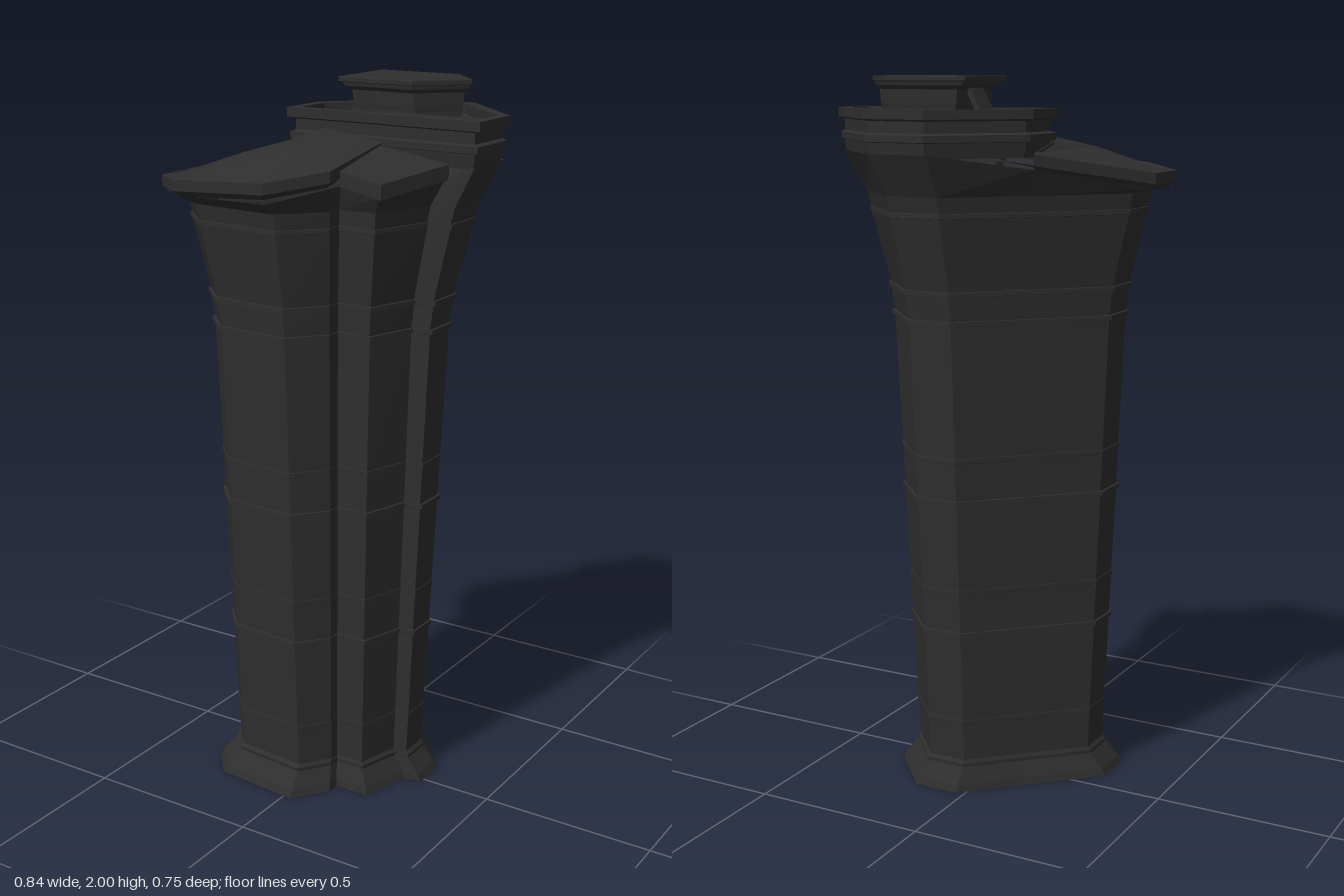
import * as THREE from 'three';

const stone = new THREE.MeshStandardMaterial({ color: 0x2e2e2e, side: THREE.DoubleSide });
stone.name = 'dark stone';

// Flat-faced skin through rings of [x, y, z] points, with an optional cap on top
function loft(name, rings, cap = false) {
  const pos = [];
  const tri = (a, b, c) => {
    const u = new THREE.Vector3(...b).sub(new THREE.Vector3(...a));
    const v = new THREE.Vector3(...c).sub(new THREE.Vector3(...a));
    if (u.cross(v).length() > 1e-7) pos.push(...a, ...b, ...c);
  };
  for (let r = 0; r < rings.length - 1; r++) {
    const lo = rings[r], hi = rings[r + 1], n = lo.length;
    for (let i = 0; i < n; i++) {
      const j = (i + 1) % n;
      tri(lo[i], lo[j], hi[j]);
      tri(lo[i], hi[j], hi[i]);
    }
  }
  if (cap) {
    const top = rings[rings.length - 1], n = top.length;
    const mid = [0, 1, 2].map(k => top.reduce((s, p) => s + p[k], 0) / n);
    top.forEach((p, i) => tri(p, top[(i + 1) % n], mid));
  }
  const g = new THREE.BufferGeometry();
  g.setAttribute('position', new THREE.Float32BufferAttribute(pos, 3));
  g.computeVertexNormals();
  const m = new THREE.Mesh(g, stone);
  m.name = name;
  return m;
}

// Ring helpers: [x, z] outline scaled about a centre at one height
const flat = (pts, y, s = 1, cx = 0, cz = 0) =>
  pts.map(([x, z]) => [cx + (x - cx) * s, y, cz + (z - cz) * s]);
const mix = (a, b, t) => a.map((p, i) => [p[0] + (b[i][0] - p[0]) * t, p[1] + (b[i][1] - p[1]) * t]);
const raise = (pts, dy) => pts.map(([x, y, z]) => [x, y + dy, z]);
const shrink = (pts, s, cx, cz, dy) =>
  pts.map(([x, y, z]) => [cx + (x - cx) * s, y + dy, cz + (z - cz) * s]);

// Tower plan at the foot, at the waist and at the eaves
const LOW = [[-.25, .06], [-.25, .16], [-.19, .23], [.02, .25], [.08, .17], [.08, .14], [.165, .14],
  [.20, .02], [.24, .015], [.24, -.07], [.13, -.195], [.02, -.195], [-.10, -.08]];
const MID = [[-.295, .07], [-.295, .18], [-.21, .265], [.01, .285], [.09, .19], [.09, .15], [.19, .15],
  [.235, .01], [.29, .005], [.29, -.10], [.15, -.255], [.02, -.255], [-.125, -.11]];
const TOP = [[-.42, .085], [-.415, .245], [-.30, .35], [.01, .375], [.135, .255], [.135, .205], [.255, .205],
  [.33, -.01], [.42, -.005], [.42, -.17], [.205, -.38], [.025, -.38], [-.18, -.166]];
const EAVE_Y = [1.705, 1.705, 1.715, 1.72, 1.755, 1.755, 1.735, 1.765, 1.80, 1.80, 1.80, 1.80, 1.76];

function towerBody() {
  const plan = y => y <= 1.35 ? mix(LOW, MID, (y - .08) / 1.27)
    : mix(MID, TOP, y < 1.43 ? (y - 1.35) * .9 : .07 + (y - 1.43) * 1.65);
  const rings = [flat(LOW, 0, 1.21), flat(LOW, .02, 1.17), flat(LOW, .065, 1.03), flat(LOW, .075, 1.035), flat(LOW, .085)];
  // Projecting courses: [height, projection]
  const courses = [[.2, 1.006], [.465, 1.022], [.59, 1.006], [.85, 1.025], [.97, 1.008], [1.35, 1.025],
    [1.43, 1.02], [1.64, 1.01]];
  for (const [y, s] of courses) {
    const p = plan(y);
    rings.push(flat(p, y - .007), flat(p, y - .006, s), flat(p, y + .006, s), flat(p, y + .007));
  }
  rings.push(flat(plan(1.69), 1.69));
  rings.push(mix(MID, TOP, .92).map(([x, z], i) => [x, EAVE_Y[i], z]));
  return loft('towerBody', rings);
}

// Faceted roof over the large front lobe
function lobeRoof() {
  const rim = [[-.42, 1.745, .085], [-.415, 1.745, .245], [-.30, 1.755, .35], [.01, 1.775, .375],
    [.135, 1.80, .255], [.12, 1.84, -.02], [-.05, 1.86, -.03], [-.17, 1.825, -.03], [-.18, 1.80, -.166]];
  const left = [-.21, 1.81, .15], right = [-.02, 1.835, .16];
  const ridge = [left, left, left, right, right, right, right, left, left];
  return loft('lobeRoof', [shrink(rim, .93, -.13, .12, -.045), raise(rim, -.03), rim,
    shrink(rim, .91, -.13, .12, .006), shrink(rim, .89, -.13, .12, 0), ridge]);
}

// Lower roof over the side wing
function wingRoof() {
  const rim = [[.10, 1.80, .205], [.255, 1.77, .205], [.33, 1.80, -.01], [.11, 1.835, -.01]];
  return loft('wingRoof', [raise(rim, -.04), rim], true);
}

// Hollow parapet around the rear turret
function balcony() {
  const cx = .12, cz = -.19;
  const outer = [[-.18, -.166], [-.18, -.012], [.12, -.012], [.15, -.008], [.42, -.005], [.42, -.17], [.205, -.38], [.025, -.38]];
  const inner = [[-.15, -.155], [-.15, -.04], [.11, -.04], [.145, -.07], [.39, -.07], [.39, -.16], [.19, -.35], [.04, -.35]];
  const steps = [[1.79, .91], [1.83, .94], [1.832, .975], [1.85, .975], [1.855, .93], [1.885, .93], [1.89, 1], [1.915, 1]];
  const rings = steps.map(([y, s]) => flat(outer, y, s, cx, cz));
  rings.push(flat(inner, 1.915), flat(inner, 1.885), flat(inner, 1.88, .97, cx, cz), flat(inner, 1.80, .95, cx, cz));
  return loft('balcony', rings);
}

// Pointed cabin and canopy rising from the balcony
function canopy() {
  const plan = [[-.05, -.07], [.18, -.07], [.295, -.19], [.20, -.295], [-.05, -.295]];
  const steps = [[1.87, .8], [1.915, .8], [1.93, .82], [1.965, .84], [1.975, .93], [1.985, .95], [1.987, 1], [1.998, 1], [2, .985]];
  return loft('canopy', steps.map(([y, s]) => flat(plan, y, s, .16, -.18)), true);
}

function box(name, w, h, d, x, y, z, rz = 0) {
  const m = new THREE.Mesh(new THREE.BoxGeometry(w, h, d), stone);
  m.name = name;
  m.position.set(x, y, z);
  m.rotation.z = rz;
  return m;
}

export function createModel() {
  const group = new THREE.Group();
  group.name = 'tower';
  group.add(towerBody(), lobeRoof(), wingRoof(), balcony(), canopy());
  // Slanting brace and small post beside the canopy
  group.add(box('brace', .015, .10, .07, -.03, 1.94, -.185, -.5));
  group.add(box('post', .012, .05, .012, .013, 1.87, -.045));
  return group;
}
